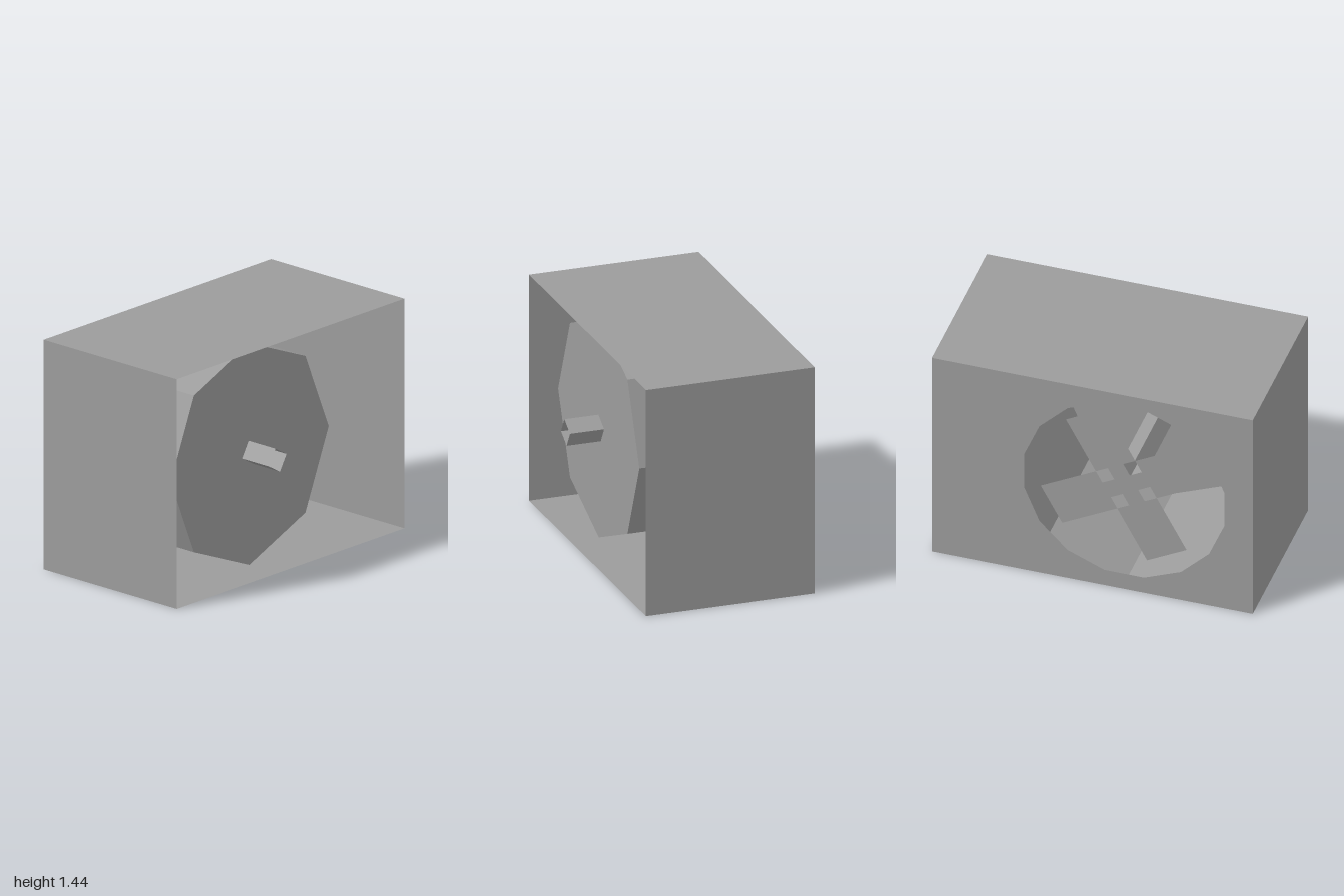
import * as THREE from 'three';

const X_WALL = -0.57, X_RIM = 0.5, X_CAP = 0.355, X_FAN = -0.51;
const X_SHAFT_START = -0.38, X_SHAFT_END = 0.57;
const HEIGHT = 1.44, DEPTH = 2;
const DRUM = { z: 0.2, y: 0.735 }, SHAFT = { z: 0.186, y: 0.743 }, FAN = { z: 0.193, y: 0.73 };
const SHAFT_TILT = THREE.MathUtils.degToRad(30.5), FAN_TILT = THREE.MathUtils.degToRad(28.5);

const material = new THREE.MeshStandardMaterial({
  color: 0x9c9c9c, flatShading: true, side: THREE.DoubleSide,
});

function add(group, name, geometry) {
  const mesh = new THREE.Mesh(geometry, material);
  mesh.name = name;
  group.add(mesh);
}

// Corners of a regular polygon, in (z, y)
function polygon(c, radius, sides, start) {
  return Array.from({ length: sides }, (_, i) => {
    const a = start + (i * 2 * Math.PI) / sides;
    return new THREE.Vector2(c.z + radius * Math.cos(a), c.y + radius * Math.sin(a));
  });
}

const outline = (points) => new THREE.Shape(points.map(([u, v]) => new THREE.Vector2(u, v)));

// Open-ended prism running along x
function tube(c, radius, sides, start, x0, x1) {
  return new THREE.CylinderGeometry(radius, radius, x1 - x0, sides, 1, true, start)
    .rotateZ(Math.PI / 2)
    .translate((x0 + x1) / 2, c.y, c.z);
}

// Flat fan piece facing -x, turned about the fan's centre
function fanPiece(points, angle) {
  return new THREE.ShapeGeometry(outline(points))
    .rotateZ(angle)
    .rotateY(-Math.PI / 2)
    .translate(X_FAN, FAN.y, FAN.z);
}

export function createModel() {
  const model = new THREE.Group();
  model.name = 'fanHousing';

  // Casing: box walls without the two x faces
  const casing = new THREE.BoxGeometry(X_RIM - X_WALL, HEIGHT, DEPTH);
  casing.setIndex(Array.from(casing.index.array).slice(12));
  casing.clearGroups();
  casing.translate((X_RIM + X_WALL) / 2, HEIGHT / 2, 0);
  add(model, 'casing', casing);

  // Wall with a sixteen-sided opening
  const wall = outline([[-1, 0], [1, 0], [1, HEIGHT], [-1, HEIGHT]]);
  wall.holes.push(new THREE.Path(polygon(DRUM, 0.635, 16, Math.PI / 16).reverse()));
  add(model, 'ventWall', new THREE.ShapeGeometry(wall)
    .rotateY(-Math.PI / 2).translate(X_WALL, 0, 0));

  // Octagonal drum behind the opening, closed at its far end
  add(model, 'drum', tube(DRUM, 0.695, 8, 0, X_WALL, X_CAP));
  add(model, 'drumCap', new THREE.CircleGeometry(0.695, 8)
    .rotateY(Math.PI / 2).translate(X_CAP, DRUM.y, DRUM.z));

  // Square hollow shaft, starting a little behind the fan
  add(model, 'shaft', tube(SHAFT, 0.08, 4, SHAFT_TILT + Math.PI / 4, X_SHAFT_START, X_SHAFT_END));

  // Fan: square hub, and four blades on narrow necks
  const fan = new THREE.Group();
  fan.name = 'fan';
  const h = 0.055, w = 0.14, tip = 0.53;
  add(fan, 'hub', fanPiece([[-h, -h], [h, -h], [h, h], [-h, h]], FAN_TILT));
  const blade = [[h, -h], [w, -h], [w, -w], [tip, -w], [tip, w], [w, w], [w, h], [h, h]];
  for (let i = 0; i < 4; i++) add(fan, 'blade', fanPiece(blade, FAN_TILT + (i * Math.PI) / 2));
  model.add(fan);

  return model;
}
